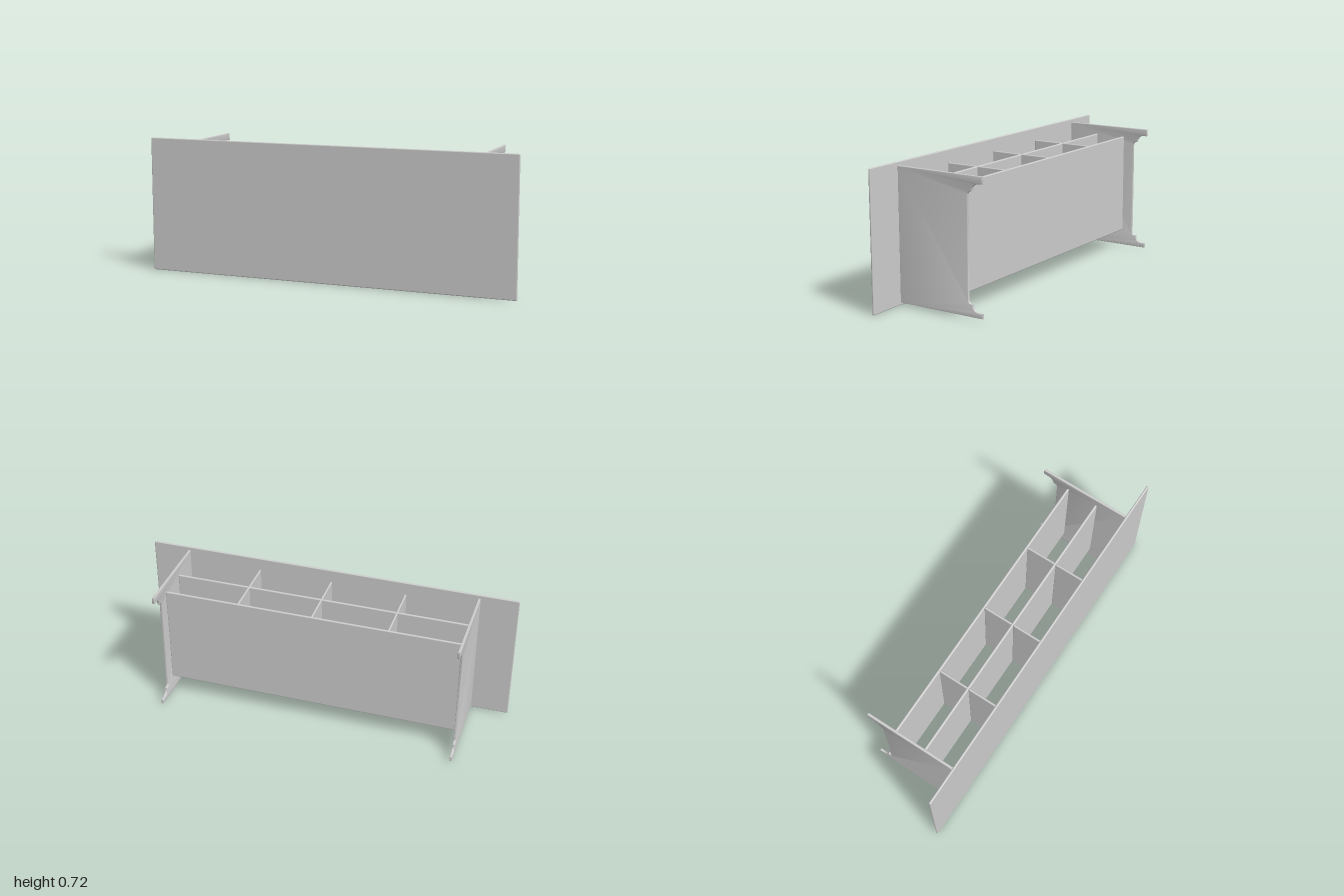
import * as THREE from 'three';
import { RoundedBoxGeometry } from 'three/addons/geometries/RoundedBoxGeometry.js';
import { toCreasedNormals } from 'three/addons/utils/BufferGeometryUtils.js';

const material = new THREE.MeshStandardMaterial({ color: 0xcccccc });

// Board with softly rounded edges, given by its centre and size
function board(name, [x, y, z], [w, h, d]) {
  const radius = Math.min(w, h, d) * 0.45;
  const mesh = new THREE.Mesh(new RoundedBoxGeometry(w, h, d, 3, radius), material);
  mesh.name = name;
  mesh.position.set(x, y, z);
  return mesh;
}

// Side panel outline, drawn with shape x = -z: a sheet with a moulded top and foot
function sidePanelGeometry(thickness) {
  const s = new THREE.Shape();
  s.moveTo(-0.242, 0.015);
  s.lineTo(0.25, 0.015);
  // foot moulding
  s.lineTo(0.25, 0.04);
  s.lineTo(0.233, 0.04);
  s.quadraticCurveTo(0.2, 0.042, 0.194, 0.07);
  s.lineTo(0.194, 0.079);
  s.lineTo(0.186, 0.079);
  s.quadraticCurveTo(0.17, 0.079, 0.169, 0.096);
  // waist and top moulding
  s.lineTo(0.169, 0.603);
  s.quadraticCurveTo(0.17, 0.62, 0.186, 0.621);
  s.lineTo(0.193, 0.621);
  s.lineTo(0.194, 0.63);
  s.quadraticCurveTo(0.2, 0.658, 0.233, 0.66);
  s.lineTo(0.247, 0.66);
  s.quadraticCurveTo(0.253, 0.66, 0.253, 0.667);
  s.lineTo(0.253, 0.698);
  s.lineTo(-0.242, 0.698);
  s.closePath();

  const bevel = 0.003;
  const geometry = new THREE.ExtrudeGeometry(s, {
    depth: thickness - 2 * bevel,
    bevelThickness: bevel,
    bevelSize: bevel,
    bevelOffset: -bevel,
    bevelSegments: 3,
    curveSegments: 12,
  });
  geometry.translate(0, 0, bevel - thickness / 2);
  geometry.rotateY(Math.PI / 2);
  return toCreasedNormals(geometry, 0.6);
}

export function createModel() {
  const model = new THREE.Group();
  model.name = 'shelfUnit';

  // Wide front sheet
  model.add(board('frontPanel', [0, 0.358, 0.25], [2, 0.716, 0.012]));

  // Moulded side panels
  const sideGeometry = sidePanelGeometry(0.013);
  for (const [name, sign] of [['leftSidePanel', 1], ['rightSidePanel', -1]]) {
    const side = new THREE.Mesh(sideGeometry, material);
    side.name = name;
    side.position.x = sign * 0.795;
    model.add(side);
  }

  // Long shelves between the sides
  for (const [name, z] of [['innerShelf', 0.07], ['outerShelf', -0.102]]) {
    model.add(board(name, [0, 0.375, z], [1.582, 0.544, 0.013]));
  }

  // Cross dividers, split by the inner shelf
  for (const x of [-0.408, -0.005, 0.392]) {
    model.add(board('innerDivider', [x, 0.378, 0.16], [0.011, 0.54, 0.17]));
    model.add(board('outerDivider', [x, 0.378, -0.016], [0.011, 0.54, 0.164]));
  }

  return model;
}
